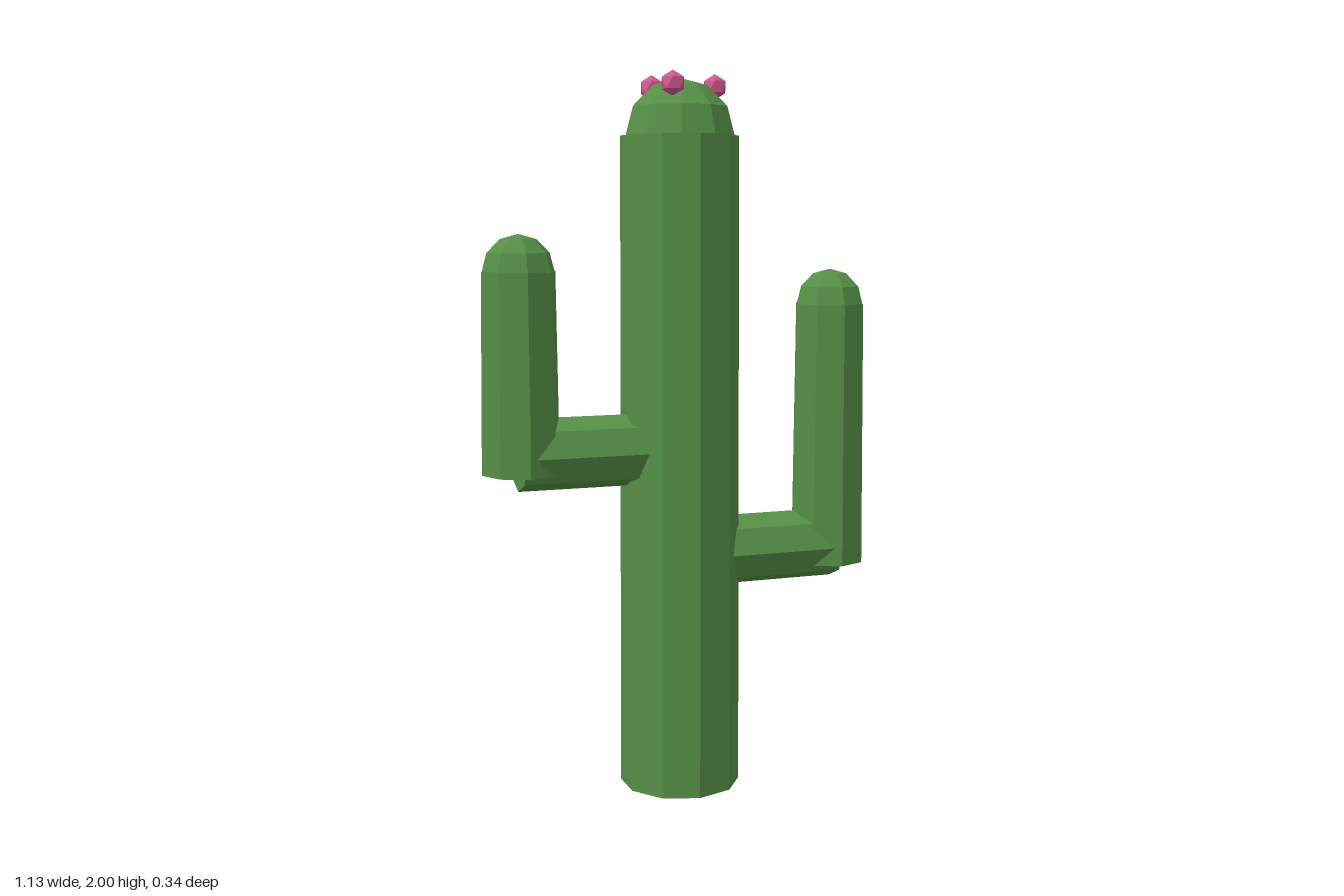
import * as THREE from 'three';

const green = new THREE.MeshStandardMaterial({ color: 0x558f47, flatShading: true });
green.name = 'cactusGreen';
const pink = new THREE.MeshStandardMaterial({ color: 0xd0588f, flatShading: true });
pink.name = 'flowerPink';

function add(parent, name, geometry, material, x, y, z) {
  const mesh = new THREE.Mesh(geometry, material);
  mesh.name = name;
  mesh.position.set(x, y, z);
  parent.add(mesh);
  return mesh;
}

// Upright tapered stem with a faceted half-sphere on top
function addStem(parent, name, x, bottom, top, rBottom, rTop, rDome, sides) {
  const height = top - bottom;
  add(parent, name, new THREE.CylinderGeometry(rTop, rBottom, height, sides), green, x, bottom + height / 2, 0);
  add(parent, name + 'Dome', new THREE.SphereGeometry(rDome, sides, 3, 0, Math.PI * 2, 0, Math.PI / 2), green, x, top, 0);
}

// Side arm: a horizontal branch out of the trunk, then an upright stem
function addArm(parent, name, side, branchY, bottom, top) {
  const arm = new THREE.Group();
  arm.name = name;
  const length = 0.467;
  const branch = new THREE.CylinderGeometry(0.1, 0.1, length, 8).rotateZ(Math.PI / 2);
  add(arm, name + 'Branch', branch, green, side * length / 2, branchY, 0);
  addStem(arm, name + 'Stem', side * 0.458, bottom, top, 0.109, 0.102, 0.1, 8);
  parent.add(arm);
}

export function createModel() {
  const cactus = new THREE.Group();
  cactus.name = 'cactus';

  addStem(cactus, 'trunk', 0, 0, 1.832, 0.17, 0.163, 0.155, 10);
  addArm(cactus, 'leftArm', 1, 0.667, 0.615, 1.365);
  addArm(cactus, 'rightArm', -1, 0.97, 0.92, 1.467);

  // Three small flower buds around the crown, each with a vertex pointing up
  const bud = new THREE.IcosahedronGeometry(0.035, 0).rotateZ(Math.atan(2 / (1 + Math.sqrt(5))));
  for (let i = 0; i < 3; i++) {
    const a = (i * Math.PI * 2) / 3;
    add(cactus, 'flower' + (i + 1), bud, pink, 0.102 * Math.cos(a), 1.965, 0.102 * Math.sin(a));
  }
  return cactus;
}
